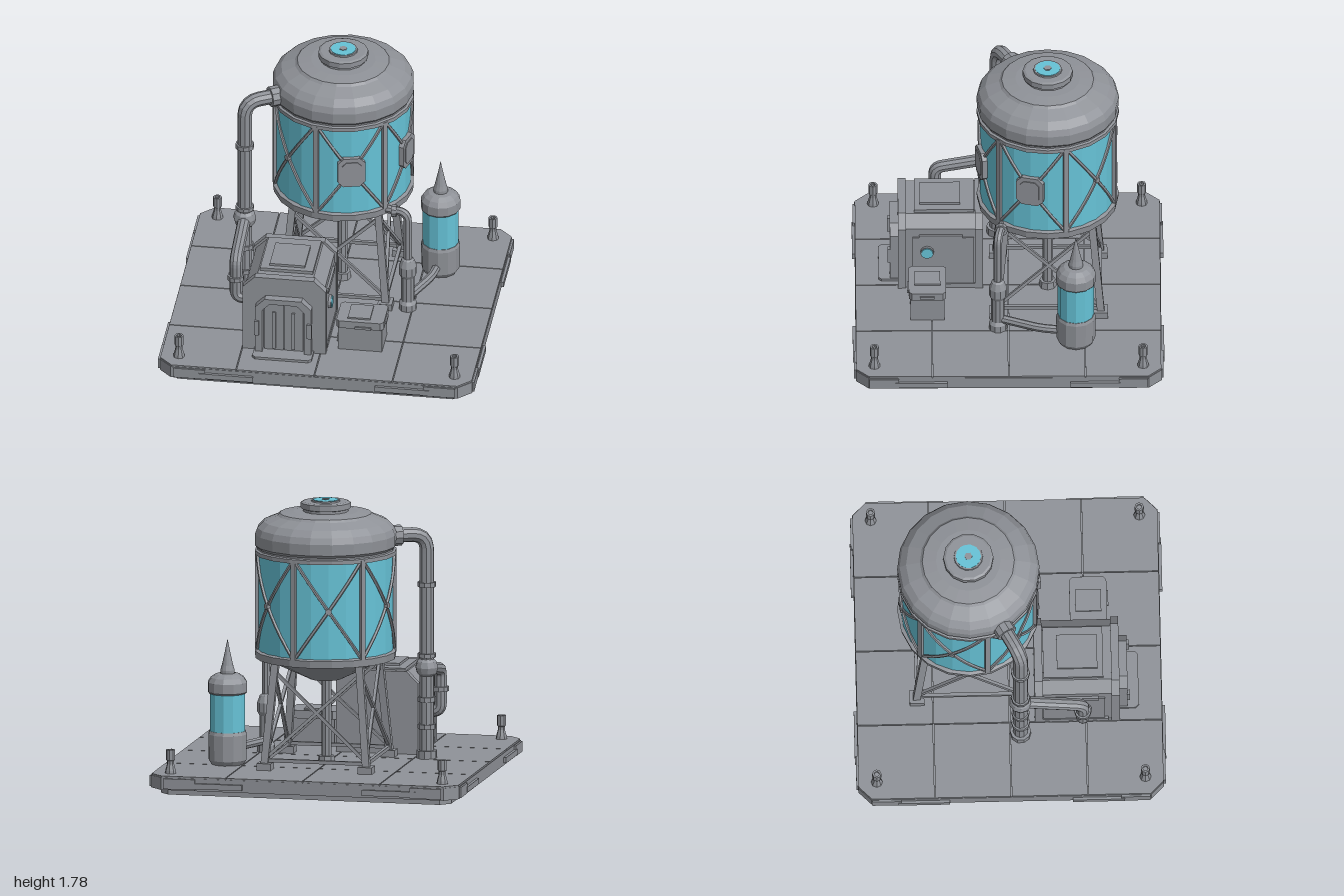
import * as THREE from 'three';

const steel = new THREE.MeshStandardMaterial({ color: 0x8f9298 });
steel.name = 'steel grey';
const water = new THREE.MeshStandardMaterial({ color: 0x66c2d6 });
water.name = 'water blue';

const V = (x, y, z) => new THREE.Vector3(x, y, z);
const UP = V(0, 1, 0);

// Adds a faceted mesh to a parent
function add(parent, name, geo, x = 0, y = 0, z = 0, mat = steel) {
  const g = geo.index ? geo.toNonIndexed() : geo;
  g.computeVertexNormals();
  const m = new THREE.Mesh(g, mat);
  m.name = name;
  m.position.set(x, y, z);
  parent.add(m);
  return m;
}
function group(parent, name, x = 0, y = 0, z = 0) {
  const g = new THREE.Group();
  g.name = name;
  g.position.set(x, y, z);
  parent.add(g);
  return g;
}
const box = (w, h, d) => new THREE.BoxGeometry(w, h, d);
const cyl = (r1, r2, h, n = 10) => new THREE.CylinderGeometry(r1, r2, h, n);
const lathe = (pts, n) => new THREE.LatheGeometry(pts.map(p => new THREE.Vector2(p[0], p[1])), n);

// Straight bar between two points
function bar(parent, name, a, b, geoFor) {
  const d = b.clone().sub(a);
  const m = add(parent, name, geoFor(d.length()));
  m.position.copy(a).add(b).multiplyScalar(0.5);
  m.quaternion.setFromUnitVectors(UP, d.normalize());
  return m;
}
// Rectangle with cut corners: c = cuts at [bottom left, bottom right, top right, top left]
function cutRect(x0, y0, x1, y1, c) {
  return new THREE.Shape([
    [x0, y0 + c[0]], [x0 + c[0], y0], [x1 - c[1], y0], [x1, y0 + c[1]],
    [x1, y1 - c[2]], [x1 - c[2], y1], [x0 + c[3], y1], [x0, y1 - c[3]],
  ].filter((p, i, l) => i === 0 || p[0] !== l[i - 1][0] || p[1] !== l[i - 1][1])
    .filter((p, i, l) => i < l.length - 1 || p[0] !== l[0][0] || p[1] !== l[0][1])
    .map(p => new THREE.Vector2(p[0], p[1])));
}
const prism = (shape, depth) => new THREE.ExtrudeGeometry(shape, { depth, bevelEnabled: false });
const slab = (shape, h) => prism(shape, h).rotateX(-Math.PI / 2);

// Pipe through points with rounded bends
function pipe(parent, name, pts, r, bend = 0.07, sides = 10) {
  const path = new THREE.CurvePath();
  let from = pts[0];
  for (let i = 1; i < pts.length - 1; i++) {
    const p = pts[i];
    const a = p.clone().add(pts[i - 1].clone().sub(p).setLength(bend));
    const b = p.clone().add(pts[i + 1].clone().sub(p).setLength(bend));
    path.add(new THREE.LineCurve3(from, a));
    path.add(new THREE.QuadraticBezierCurve3(a, p, b));
    from = b;
  }
  path.add(new THREE.LineCurve3(from, pts[pts.length - 1]));
  return add(parent, name, new THREE.TubeGeometry(path, 48, r, sides));
}

function buildBase(root) {
  const base = group(root, 'base');
  add(base, 'lowerSlab', slab(cutRect(-0.92, -0.9, 0.92, 0.9, [0.06, 0.06, 0.06, 0.06]), 0.04));
  add(base, 'deck', slab(cutRect(-0.975, -0.945, 0.975, 0.945, [0.08, 0.08, 0.08, 0.08]), 0.077), 0, 0.035);
  // floor tiles with narrow gaps
  const n = 4, w = 1.95 / n, d = 1.89 / n, e = 0.003;
  for (let i = 0; i < n; i++) for (let j = 0; j < n; j++) {
    const l = i === 0, r = i === n - 1, b = j === 0, t = j === n - 1;
    const cuts = [l && b, r && b, r && t, l && t].map(k => (k ? 0.08 : 0));
    const x = -0.975 + i * w, y = -0.945 + j * d;
    add(base, 'floorTile', slab(cutRect(x + e, y + e, x + w - e, y + d - e, cuts), 0.01), 0, 0.112);
  }
  for (const s of [-1, 1]) {
    // edge plates and raised corner rails
    for (const k of [-1, 1]) {
      add(base, 'edgePlate', box(0.34, 0.035, 0.02), k * 0.55, 0.067, s * 0.952);
      add(base, 'edgePlate', box(0.02, 0.035, 0.32), s * 0.982, 0.067, k * 0.54);
      add(base, 'cornerRail', box(0.016, 0.065, 0.18), s * 0.979, 0.075, k * 0.77);
      add(base, 'cornerRail', box(0.2, 0.065, 0.016), k * 0.78, 0.075, s * 0.948);
      // corner posts
      add(base, 'cornerPost', lathe([[0, 0.12], [0.036, 0.12], [0.033, 0.14], [0.022, 0.18], [0.022, 0.2],
        [0.028, 0.205], [0.028, 0.27], [0.016, 0.27], [0.016, 0.255], [0, 0.255]], 8), s * 0.86, 0, k * 0.83);
    }
  }
}

function buildTank(root) {
  const tank = group(root, 'waterTank', 0.01, 0, -0.245);
  add(tank, 'tankBottom', lathe([[0, 0.65], [0.1, 0.65], [0.13, 0.665], [0.33, 0.76], [0.4, 0.785],
    [0.435, 0.785], [0.44, 0.83], [0.41, 0.84], [0, 0.84]], 20));
  add(tank, 'tankWall', new THREE.CylinderGeometry(0.418, 0.418, 0.62, 24, 1, true), 0, 1.14, 0, water);
  add(tank, 'tankDome', lathe([[0.4, 1.435], [0.44, 1.435], [0.44, 1.46], [0.425, 1.465], [0.425, 1.475], [0.437, 1.49],
    [0.44, 1.56], [0.425, 1.6], [0.385, 1.64], [0.3, 1.675], [0.285, 1.69], [0.2, 1.7], [0, 1.7]], 20));
  add(tank, 'hatch', lathe([[0.14, 1.69], [0.14, 1.715], [0.155, 1.72], [0.155, 1.755], [0.14, 1.762],
    [0.09, 1.762], [0.088, 1.77], [0, 1.77]], 14));
  add(tank, 'hatchWindow', cyl(0.078, 0.078, 0.006, 14), 0, 1.77, 0, water);
  add(tank, 'hatchBolt', cyl(0.025, 0.025, 0.006, 6), 0, 1.774, 0);

  const onWall = (deg, y, r = 0.425) => {
    const a = THREE.MathUtils.degToRad(deg);
    return V(Math.sin(a) * r, y, Math.cos(a) * r);
  };
  for (let k = 0; k < 6; k++) {
    const deg = -15 + k * 60, mid = deg + 30;
    // upright rib
    const rib = add(tank, 'wallRib', box(0.032, 0.62, 0.024));
    rib.position.copy(onWall(deg, 1.14));
    rib.rotation.y = THREE.MathUtils.degToRad(deg);
    // crossed braces wrapped round the wall
    for (const s of [-1, 1]) {
      const pts = [];
      for (let i = 0; i <= 8; i++) pts.push(onWall(mid + (i / 4 - 1) * 28, 1.14 + s * (i / 4 - 1) * 0.295, 0.423));
      add(tank, 'wallBrace', new THREE.TubeGeometry(new THREE.CatmullRomCurve3(pts), 10, 0.011, 5));
    }
    // plates on two panels, small bosses on the others
    const plated = k < 2;
    const p = group(tank, plated ? 'wallPlate' : 'braceBoss');
    p.position.copy(onWall(mid, 1.14, 0.41));
    p.rotation.y = THREE.MathUtils.degToRad(mid);
    if (plated) {
      add(p, 'plate', prism(cutRect(-0.086, -0.1, 0.086, 0.1, [0.035, 0.035, 0.035, 0.035]), 0.032));
      add(p, 'plateFace', prism(cutRect(-0.06, -0.074, 0.06, 0.074, [0.025, 0.025, 0.025, 0.025]), 0.006), 0, 0, 0.032);
    } else add(p, 'boss', cyl(0.02, 0.02, 0.03, 6).rotateX(Math.PI / 2), 0, 0, 0.014);
  }

  // support tower
  const tower = group(root, 'tower', 0, 0, -0.25);
  const corners = [[-1, -1], [1, -1], [1, 1], [-1, 1]];
  const leg = (c, y) => { const h = 0.325 - 0.06 * (y - 0.12) / 0.68; return V(c[0] * h, y, c[1] * h); };
  const sq = w => l => box(w, l, w);
  corners.forEach((c, i) => {
    const n = corners[(i + 1) % 4];
    bar(tower, 'leg', leg(c, 0.12), leg(c, 0.8), sq(0.045));
    add(tower, 'foot', box(0.09, 0.045, 0.09), c[0] * 0.32, 0.142, c[1] * 0.32);
    bar(tower, 'bottomRail', leg(c, 0.18), leg(n, 0.18), sq(0.022));
    bar(tower, 'crossBrace', leg(c, 0.19), leg(n, 0.73), sq(0.02));
    bar(tower, 'crossBrace', leg(n, 0.19), leg(c, 0.73), sq(0.02));
  });
  add(tower, 'centrePipe', cyl(0.032, 0.032, 0.56, 8), 0.005, 0.39, 0.005);
  add(tower, 'centrePipeFoot', cyl(0.05, 0.055, 0.05, 8), 0.005, 0.142, 0.005);
}

function buildPipes(root) {
  // tall inlet pipe on the right with a branch to the hut
  const inlet = group(root, 'inletPipe');
  pipe(inlet, 'mainPipe', [V(-0.33, 1.525, -0.06), V(-0.56, 1.525, 0.065), V(-0.56, 0.12, 0.065)], 0.046, 0.1);
  const f = bar(inlet, 'tankFlange', V(-0.36, 1.525, -0.045), V(-0.415, 1.525, -0.014), l => cyl(0.065, 0.065, l));
  f.name = 'tankFlange';
  for (const [y, r, h] of [[1.21, 0.058, 0.03], [0.765, 0.058, 0.025], [0.49, 0.056, 0.03], [0.32, 0.058, 0.03], [0.145, 0.065, 0.05]])
    add(inlet, 'collar', cyl(r, r, h), -0.56, y, 0.065);
  add(inlet, 'joint', new THREE.SphereGeometry(0.072, 10, 6), -0.56, 0.69, 0.065);
  pipe(inlet, 'branchPipe', [V(-0.56, 0.69, 0.065), V(-0.56, 0.615, 0.45), V(-0.56, 0.35, 0.45), V(-0.46, 0.35, 0.45)], 0.04, 0.05);
  add(inlet, 'branchCollar', cyl(0.052, 0.052, 0.03), -0.56, 0.49, 0.45);
  add(inlet, 'branchFlange', cyl(0.055, 0.055, 0.025).rotateZ(Math.PI / 2), -0.492, 0.35, 0.45);

  // outlet pipe on the left, running along the floor to the small tank
  const outlet = group(root, 'outletPipe');
  pipe(outlet, 'downPipe', [V(0.3, 0.81, 0.03), V(0.457, 0.81, 0.065), V(0.457, 0.4, 0.065)], 0.027, 0.06, 8);
  add(outlet, 'valve', lathe([[0, 0.12], [0.056, 0.12], [0.056, 0.165], [0.042, 0.185], [0.042, 0.35], [0.056, 0.375],
    [0.056, 0.43], [0.04, 0.475], [0.028, 0.485], [0, 0.485]], 10), 0.457, 0, 0.065);
  add(outlet, 'outletCollar', cyl(0.04, 0.04, 0.03).rotateZ(Math.PI / 2), 0.37, 0.805, 0.045);
  pipe(outlet, 'floorPipe', [V(0.46, 0.195, 0.05), V(0.565, 0.195, -0.2), V(0.59, 0.195, -0.38)], 0.027, 0.06, 8);
}

function buildSmallTank(root) {
  const t = group(root, 'smallTank', 0.593, 0, -0.416);
  add(t, 'lowerShell', lathe([[0, 0.12], [0.1, 0.12], [0.12, 0.15], [0.122, 0.31], [0.115, 0.33], [0, 0.33]], 12));
  add(t, 'glass', new THREE.CylinderGeometry(0.112, 0.112, 0.25, 12, 1, true), 0, 0.45, 0, water);
  add(t, 'upperShell', lathe([[0, 0.565], [0.115, 0.565], [0.124, 0.575], [0.124, 0.635], [0.105, 0.665], [0.075, 0.685],
    [0.045, 0.69], [0.045, 0.71], [0.036, 0.74], [0.02, 0.81], [0, 0.905]], 12));
}

function buildHut(root) {
  const hut = group(root, 'hut', -0.225, 0, 0);
  const arch = (hw, top, cut) => cutRect(-hw, 0.12, hw, top, [0, 0, cut, cut]);
  add(hut, 'walls', prism(arch(0.245, 0.63, 0.07), 0.48), 0, 0, 0.17);
  // end frames
  for (const z of [0.155, 0.63]) add(hut, 'endFrame', prism(arch(0.26, 0.64, 0.075), 0.05), 0, 0, z);
  // roof hatch
  add(hut, 'roofPlate', box(0.33, 0.02, 0.37), 0, 0.64, 0.395);
  add(hut, 'roofHatch', box(0.22, 0.02, 0.25), 0, 0.655, 0.42);
  // side panels and fittings
  for (const s of [-1, 1]) {
    add(hut, 'sidePanel', box(0.012, 0.36, 0.38), s * 0.248, 0.32, 0.4);
    add(hut, 'sideVent', box(0.02, 0.035, 0.27), s * 0.25, 0.5, 0.415);
    add(hut, 'sideSill', box(0.02, 0.03, 0.42), s * 0.25, 0.14, 0.4);
  }
  add(hut, 'gaugeRim', cyl(0.042, 0.042, 0.02, 12).rotateZ(Math.PI / 2), 0.26, 0.395, 0.5);
  add(hut, 'gauge', cyl(0.036, 0.036, 0.008, 12).rotateZ(Math.PI / 2), 0.273, 0.395, 0.5, water);
  // doorway with a frame around two leaves
  const frame = arch(0.175, 0.515, 0.06);
  frame.holes.push(arch(0.13, 0.48, 0.045));
  add(hut, 'doorFrame', prism(frame, 0.05), 0, 0, 0.68);
  for (const s of [-1, 1]) {
    add(hut, 'doorLeaf', box(0.118, 0.36, 0.02), s * 0.062, 0.3, 0.685);
    add(hut, 'doorRib', box(0.02, 0.26, 0.015), s * 0.06, 0.28, 0.698);
    add(hut, 'doorJambBlock', box(0.03, 0.1, 0.02), s * 0.165, 0.31, 0.735);
  }
  add(hut, 'doorstep', slab(cutRect(-0.185, -0.8, 0.185, -0.68, [0.02, 0.02, 0, 0]), 0.02), 0, 0.118);
}

function buildCrate(root) {
  const c = group(root, 'crate', 0.237, 0, 0.5);
  add(c, 'crateBody', box(0.275, 0.165, 0.21), 0, 0.2, 0);
  add(c, 'crateLid', slab(cutRect(-0.148, -0.115, 0.148, 0.115, [0.02, 0.02, 0.02, 0.02]), 0.05), 0, 0.28, 0);
  add(c, 'lidPanel', box(0.14, 0.012, 0.16), -0.01, 0.334, 0);
  add(c, 'frontLatch', box(0.1, 0.016, 0.015), 0.02, 0.29, 0.117);
  add(c, 'sideLatch', box(0.015, 0.016, 0.09), 0.15, 0.3, 0);
  add(c, 'sideHandle', box(0.02, 0.04, 0.06), -0.145, 0.15, 0);
}

export function createModel() {
  const root = new THREE.Group();
  root.name = 'waterStation';
  buildBase(root);
  buildTank(root);
  buildPipes(root);
  buildSmallTank(root);
  buildHut(root);
  buildCrate(root);
  return root;
}
